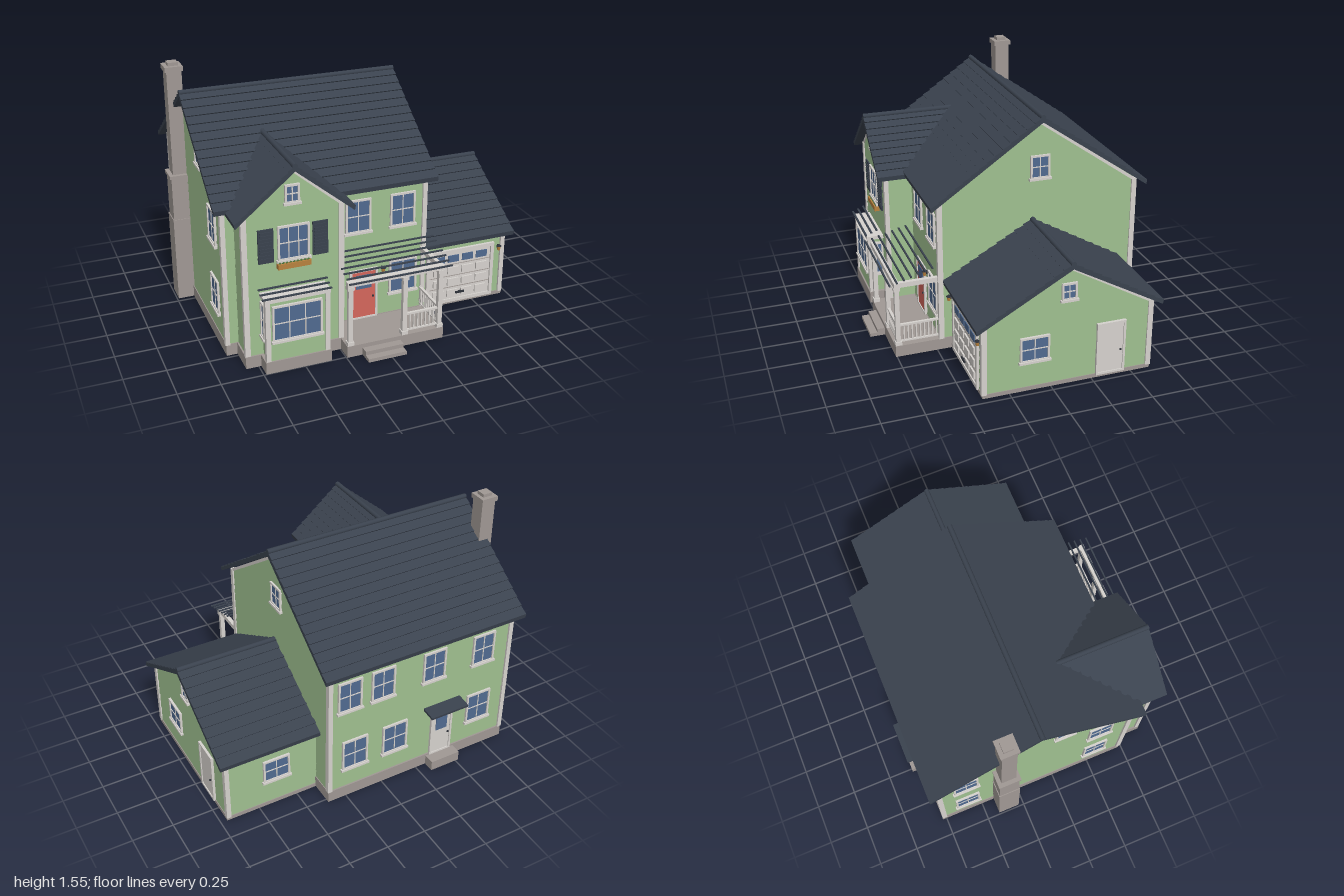
import * as THREE from 'three';

export function createModel() {
  const mat = (name, color, side = THREE.FrontSide) => {
    const m = new THREE.MeshStandardMaterial({ color, side });
    m.name = name;
    return m;
  };
  const green = mat('siding green', 0x9aba8b);
  const slate = mat('roof slate', 0x3a424e);
  const trim = mat('trim white', 0xd6d2ce);
  const stone = mat('stone grey', 0xa09894);
  const glass = mat('window glass', 0x506a90);
  const red = mat('door red', 0xd4665c);
  const wood = mat('planter wood', 0xb8823e);
  const dark = mat('dark metal', 0x2c3038);
  const leaf = mat('plant green', 0x55793f);

  const house = new THREE.Group();
  house.name = 'house';

  const add = (parent, name, geo, m, x = 0, y = 0, z = 0) => {
    const mesh = new THREE.Mesh(geo, m);
    mesh.name = name;
    mesh.position.set(x, y, z);
    parent.add(mesh);
    return mesh;
  };
  // Box given by its minimum and maximum on each axis
  const box = (parent, name, m, x0, x1, y0, y1, z0, z1) =>
    add(parent, name, new THREE.BoxGeometry(x1 - x0, y1 - y0, z1 - z0), m, (x0 + x1) / 2, (y0 + y1) / 2, (z0 + z1) / 2);
  const group = (parent, name, x, y, z, ry = 0) => {
    const g = new THREE.Group();
    g.name = name;
    g.position.set(x, y, z);
    g.rotation.y = ry;
    parent.add(g);
    return g;
  };

  // Lapped boards: every course leans out at its lower edge
  const siding = (parent, name, halfAt, y0, y1, x, z, ry) => {
    const n = Math.round((y1 - y0) / 0.055), p = [];
    const quad = (a, b, c, d) => p.push(...a, ...b, ...c, ...a, ...c, ...d);
    for (let i = 0; i < n; i++) {
      const a = y0 + (y1 - y0) * i / n, b = y0 + (y1 - y0) * (i + 1) / n;
      const ha = halfAt(a), hb = halfAt(b);
      quad([-ha, a, 0.006], [ha, a, 0.006], [hb, b, 0.001], [-hb, b, 0.001]);
      quad([-ha, a, 0], [ha, a, 0], [ha, a, 0.006], [-ha, a, 0.006]);
    }
    const g = new THREE.BufferGeometry();
    g.setAttribute('position', new THREE.Float32BufferAttribute(p, 3));
    g.computeVertexNormals();
    add(parent, name, g, green, x, 0, z).rotation.y = ry;
  };

  // Gabled block with its ridge along local z: walls, siding, corner boards, shingled roof
  const gabled = (name, x, z, ry, o) => {
    const g = group(house, name, x, 0, z, ry);
    const slope = (o.yR - o.yE) / o.run, under = 0.03;
    const top = o.yR - under, eave = top - slope * o.half;
    const extrude = (pts, z0, z1) => {
      const geo = new THREE.ExtrudeGeometry(new THREE.Shape(pts.map(p => new THREE.Vector2(...p))),
        { depth: z1 - z0, bevelEnabled: false });
      return geo.translate(0, 0, z0);
    };
    add(g, 'walls', extrude([[-o.half, o.y0], [o.half, o.y0], [o.half, eave], [0, top], [-o.half, eave]], o.z0, o.z1), green);
    const halfAt = y => y <= eave ? o.half : Math.max(0, (top - y) / slope);
    const mid = (o.z0 + o.z1) / 2, len = (o.z1 - o.z0) / 2;
    siding(g, 'gableSiding', halfAt, o.y0, top, 0, o.z1, 0);
    if (!o.joined) siding(g, 'gableSiding', halfAt, o.y0, top, 0, o.z0, Math.PI);
    for (const s of [-1, 1]) {
      siding(g, 'sideSiding', () => len, o.y0, eave, s * o.half, mid, s * Math.PI / 2);
      for (const e of o.joined ? [o.z1] : [o.z0, o.z1])
        box(g, 'cornerBoard', trim, s * o.half - 0.016, s * o.half + 0.016, o.y0, eave - 0.005, e - 0.016, e + 0.012);
      box(g, 'frieze', trim, s * o.half - 0.01, s * o.half + 0.01, eave - 0.035, eave - 0.005, o.z0, o.z1 + 0.008);
    }
    // Stepped shingle courses as one extruded outline
    const right = [];
    for (let i = 0; i < o.courses; i++) {
      const at = t => [o.run * (1 - t), o.yE + (o.yR - o.yE) * t];
      const [ax, ay] = at(i / o.courses), [bx, by] = at((i + 1) / o.courses);
      right.push([ax + 0.005, ay + 0.007], [bx, by]);
    }
    const left = right.slice(0, -1).reverse().map(([px, py]) => [-px, py]);
    add(g, 'roof', extrude([...right, ...left, [-o.run, o.yE - under + 0.008], [0, top], [o.run, o.yE - under + 0.008]], o.r0, o.r1), slate);
    const ridge = new THREE.CylinderGeometry(0.016, 0.016, o.r1 - o.r0, 10).rotateX(Math.PI / 2);
    add(g, 'ridgeCap', ridge, slate, 0, o.yR, (o.r0 + o.r1) / 2);
    // Pale rake boards under the roof edge
    for (const e of o.joined ? [o.z1] : [o.z0, o.z1]) {
      const pts = [[o.half, eave], [0, top], [-o.half, eave], [-o.half, eave - 0.022], [0, top - 0.022], [o.half, eave - 0.022]];
      add(g, 'rakeBoard', extrude(pts, e - 0.009, e + 0.009), trim);
    }
  };
  gabled('mainHouse', 0, -0.145, Math.PI / 2,
    { half: 0.615, run: 0.675, y0: 0.07, yE: 0.945, yR: 1.42, z0: -0.88, z1: 0.36, r0: -0.94, r1: 0.415, courses: 14 });
  gabled('frontWing', -0.525, 0, 0,
    { half: 0.285, run: 0.345, y0: 0.07, yE: 0.93, yR: 1.222, z0: 0.2, z1: 0.64, r0: 0.1, r1: 0.7, courses: 9, joined: true });
  gabled('garage', 0, -0.105, Math.PI / 2,
    { half: 0.505, run: 0.558, y0: 0.02, yE: 0.455, yR: 0.775, z0: 0.36, z1: 0.95, r0: 0.34, r1: 1, courses: 10, joined: true });

  // Foundations, porch floor and steps
  box(house, 'mainFoundation', stone, -0.89, 0.37, 0, 0.075, -0.775, 0.48);
  box(house, 'wingFoundation', stone, -0.825, -0.235, 0, 0.075, 0.4, 0.655);
  box(house, 'bayFoundation', stone, -0.735, -0.34, 0, 0.075, 0.64, 0.75);
  box(house, 'garageFoundation', stone, 0.36, 0.96, 0, 0.025, -0.62, 0.41);
  box(house, 'porchFloor', stone, -0.245, 0.37, 0, 0.072, 0.47, 0.757);
  box(house, 'upperStep', stone, -0.15, 0.09, 0, 0.046, 0.75, 0.805);
  box(house, 'lowerStep', stone, -0.15, 0.09, 0, 0.022, 0.75, 0.85);
  box(house, 'backStep', stone, -0.52, -0.32, 0, 0.065, -0.845, -0.77);

  // Chimney in two stages with a cap
  const cz = -0.35;
  box(house, 'chimneyBase', stone, -0.99, -0.87, 0, 0.55, cz - 0.068, cz + 0.068);
  box(house, 'chimneyMiddle', stone, -0.985, -0.87, 0.55, 0.83, cz - 0.063, cz + 0.063);
  box(house, 'chimneyLedge', stone, -0.995, -0.87, 0.825, 0.845, cz - 0.07, cz + 0.07);
  box(house, 'chimneyShaft', stone, -0.97, -0.878, 0.84, 1.5, cz - 0.046, cz + 0.046);
  box(house, 'chimneyCap', stone, -0.98, -0.87, 1.5, 1.53, cz - 0.056, cz + 0.056);
  box(house, 'chimneyPot', stone, -0.955, -0.893, 1.53, 1.55, cz - 0.03, cz + 0.03);

  // Wall frames: x runs to the viewer's right when facing each wall
  const front = group(house, 'frontWallFittings', 0, 0, 0.47);
  const wing = group(house, 'wingFittings', 0, 0, 0.64);
  const back = group(house, 'backWallFittings', 0, 0, -0.76, Math.PI);
  const left = group(house, 'leftWallFittings', -0.88, 0, 0, -Math.PI / 2);
  const right = group(house, 'rightWallFittings', 0.36, 0, 0, Math.PI / 2);
  const garFront = group(house, 'garageFrontFittings', 0, 0, 0.4);
  const garSide = group(house, 'garageSideFittings', 0.95, 0, 0, Math.PI / 2);
  const garBack = group(house, 'garageBackFittings', 0, 0, -0.61, Math.PI);

  const frame = (g, w, h, t, d) => {
    for (const s of [-1, 1]) {
      box(g, 'frameSide', trim, s * w / 2 - t / 2, s * w / 2 + t / 2, -h / 2, h / 2, 0, d);
      box(g, 'frameRail', trim, -w / 2 - t / 2, w / 2 + t / 2, s * h / 2 - t / 2, s * h / 2 + t / 2, 0, d);
    }
  };
  const window_ = (parent, x, y, w, h, columns = 2) => {
    const g = group(parent, 'window', x, y, 0);
    box(g, 'glass', glass, -w / 2, w / 2, -h / 2, h / 2, 0.002, 0.0095);
    frame(g, w, h, 0.012, 0.017);
    for (let i = 1; i < columns; i++) {
      const mx = -w / 2 + w * i / columns;
      box(g, 'mullion', trim, mx - 0.003, mx + 0.003, -h / 2, h / 2, 0.005, 0.013);
    }
    box(g, 'crossBar', trim, -w / 2, w / 2, -0.003, 0.003, 0.005, 0.013);
    box(g, 'sill', trim, -w / 2 - 0.014, w / 2 + 0.014, -h / 2 - 0.014, -h / 2, 0, 0.024);
  };
  for (const x of [-0.068, 0.215]) window_(front, x, 0.755, 0.148, 0.2);
  window_(front, 0.225, 0.315, 0.17, 0.21);
  window_(wing, -0.525, 0.755, 0.175, 0.2, 3);
  window_(wing, -0.528, 1.045, 0.075, 0.1);
  for (const x of [0.23, 0.01, -0.34, -0.69]) window_(back, -x, 0.755, 0.145, 0.2);
  for (const x of [0.19, -0.085, -0.69]) window_(back, -x, 0.315, 0.16, 0.2);
  for (const z of [-0.59, 0.28]) for (const y of [0.315, 0.755]) window_(left, z, y, 0.145, 0.2);
  window_(left, 0.03, 1.1, 0.11, 0.14);
  window_(right, 0.147, 1.105, 0.11, 0.135);
  window_(garSide, -0.1, 0.265, 0.165, 0.145);
  window_(garSide, 0.1, 0.592, 0.08, 0.095);
  window_(garBack, -0.63, 0.265, 0.16, 0.145);

  // Shutters and flower box
  for (const x of [-0.687, -0.367]) {
    box(wing, 'shutter', slate, x - 0.045, x + 0.045, 0.65, 0.855, 0, 0.014);
    for (let y = 0.67; y < 0.85; y += 0.02) box(wing, 'louvre', slate, x - 0.036, x + 0.036, y, y + 0.01, 0.01, 0.018);
  }
  box(wing, 'flowerBox', wood, -0.625, -0.43, 0.605, 0.636, 0, 0.034);
  for (let i = 0; i < 9; i++)
    add(wing, 'plant', new THREE.IcosahedronGeometry(0.011, 0), leaf, -0.612 + i * 0.021, 0.64, 0.018);

  // Doors
  const door = (parent, name, m, x, y0, w, h) => {
    const g = group(parent, name, x, y0 + h / 2, 0);
    box(g, 'leaf', m, -w / 2, w / 2, -h / 2, h / 2, 0, 0.014);
    frame(g, w, h, 0.014, 0.02);
    add(g, 'knob', new THREE.SphereGeometry(0.007, 10, 8), dark, w * 0.36, -0.02, 0.02);
    return g;
  };
  const entry = door(front, 'frontDoor', red, -0.032, 0.075, 0.165, 0.32);
  box(entry, 'doorGlass', glass, -0.05, 0.05, 0.04, 0.13, 0.013, 0.018);
  const rear = door(back, 'backDoor', trim, 0.42, 0.07, 0.14, 0.31);
  box(rear, 'doorGlass', glass, -0.04, 0.04, 0.02, 0.125, 0.013, 0.018);
  door(garSide, 'garageSideDoor', trim, 0.365, 0.025, 0.165, 0.32);
  box(back, 'backAwning', slate, 0.29, 0.55, 0.425, 0.44, 0, 0.095).rotation.x = 0.1;

  // Sectional garage door
  const gd = group(garFront, 'garageDoor', 0.653, 0.2, 0);
  box(gd, 'doorPanel', trim, -0.21, 0.21, -0.175, 0.17, 0, 0.012);
  frame(gd, 0.445, 0.345, 0.022, 0.02);
  for (let c = 0; c < 4; c++) for (let r = 0; r < 4; r++) {
    const x = (c - 1.5) * 0.098, y = 0.12 - r * 0.08;
    box(gd, r ? 'raisedPanel' : 'doorGlass', r ? trim : glass, x - 0.038, x + 0.038, y - 0.023, y + 0.023, 0.01, r ? 0.022 : 0.017);
  }
  for (const y of [0.08, 0, -0.08]) box(gd, 'sectionSeam', stone, -0.21, 0.21, y - 0.002, y + 0.002, 0.01, 0.014);
  box(gd, 'handle', dark, -0.03, 0.03, -0.125, -0.113, 0.015, 0.03);

  // Wall lanterns
  for (const [g, x, y] of [[front, 0.09, 0.38], [garFront, 0.375, 0.34], [garFront, 0.918, 0.34]]) {
    const l = group(g, 'lantern', x, y, 0.024);
    add(l, 'lamp', new THREE.CylinderGeometry(0.012, 0.009, 0.026, 8), wood);
    add(l, 'lampHood', new THREE.ConeGeometry(0.017, 0.014, 8), dark, 0, 0.02);
    box(l, 'bracket', dark, -0.004, 0.004, -0.004, 0.018, -0.024, 0);
  }

  // Bay window with open slatted canopy
  box(house, 'bayWalls', green, -0.715, -0.36, 0.07, 0.465, 0.63, 0.735);
  const bay = group(house, 'bayFront', -0.5375, 0, 0.735);
  siding(bay, 'baySiding', () => 0.178, 0.075, 0.46, 0, 0, 0);
  window_(bay, -0.005, 0.312, 0.285, 0.215, 3);
  for (const s of [-1, 1]) {
    box(bay, 'bayCorner', trim, s * 0.178 - 0.014, s * 0.178 + 0.014, 0.075, 0.465, -0.02, 0.012);
    window_(group(bay, 'baySide', s * 0.1775, 0, -0.055, s * Math.PI / 2), 0, 0.312, 0.05, 0.21, 1);
  }
  box(bay, 'bayHeader', trim, -0.195, 0.195, 0.45, 0.472, -0.1, 0.016);
  for (let i = 0; i < 3; i++)
    box(house, 'baySlat', slate, -0.75, -0.34, 0.48 + i * 0.014, 0.487 + i * 0.014, 0.75 - i * 0.035, 0.762 - i * 0.035);

  // Porch posts, beams, slatted canopy and railing
  for (const x of [-0.222, 0.12, 0.348]) {
    box(house, 'porchPost', trim, x - 0.014, x + 0.014, 0.07, 0.46, 0.722, 0.75);
    box(house, 'postBase', trim, x - 0.02, x + 0.02, 0.07, 0.095, 0.716, 0.756);
    box(house, 'postCapital', trim, x - 0.02, x + 0.02, 0.435, 0.455, 0.716, 0.756);
  }
  box(house, 'porchBeam', trim, -0.242, 0.37, 0.455, 0.485, 0.72, 0.752);
  box(house, 'porchSideBeam', trim, 0.336, 0.362, 0.455, 0.485, 0.47, 0.73);
  for (let i = 0; i < 7; i++) {
    const y = 0.568 - i * 0.0125, z = 0.525 + i * 0.043;
    box(house, 'porchSlat', slate, -0.245, 0.4, y - 0.004, y + 0.004, z - 0.005, z + 0.005);
  }
  const railing = (x, z, ry, len) => {
    const g = group(house, 'railing', x, 0, z, ry);
    box(g, 'topRail', trim, 0, len, 0.195, 0.207, -0.008, 0.008);
    box(g, 'bottomRail', trim, 0, len, 0.088, 0.097, -0.006, 0.006);
    const n = Math.round(len / 0.026);
    for (let i = 1; i < n; i++) box(g, 'baluster', trim, len * i / n - 0.004, len * i / n + 0.004, 0.09, 0.2, -0.004, 0.004);
  };
  railing(0.134, 0.736, 0, 0.2);
  railing(0.348, 0.722, Math.PI / 2, 0.25);

  return house;
}
